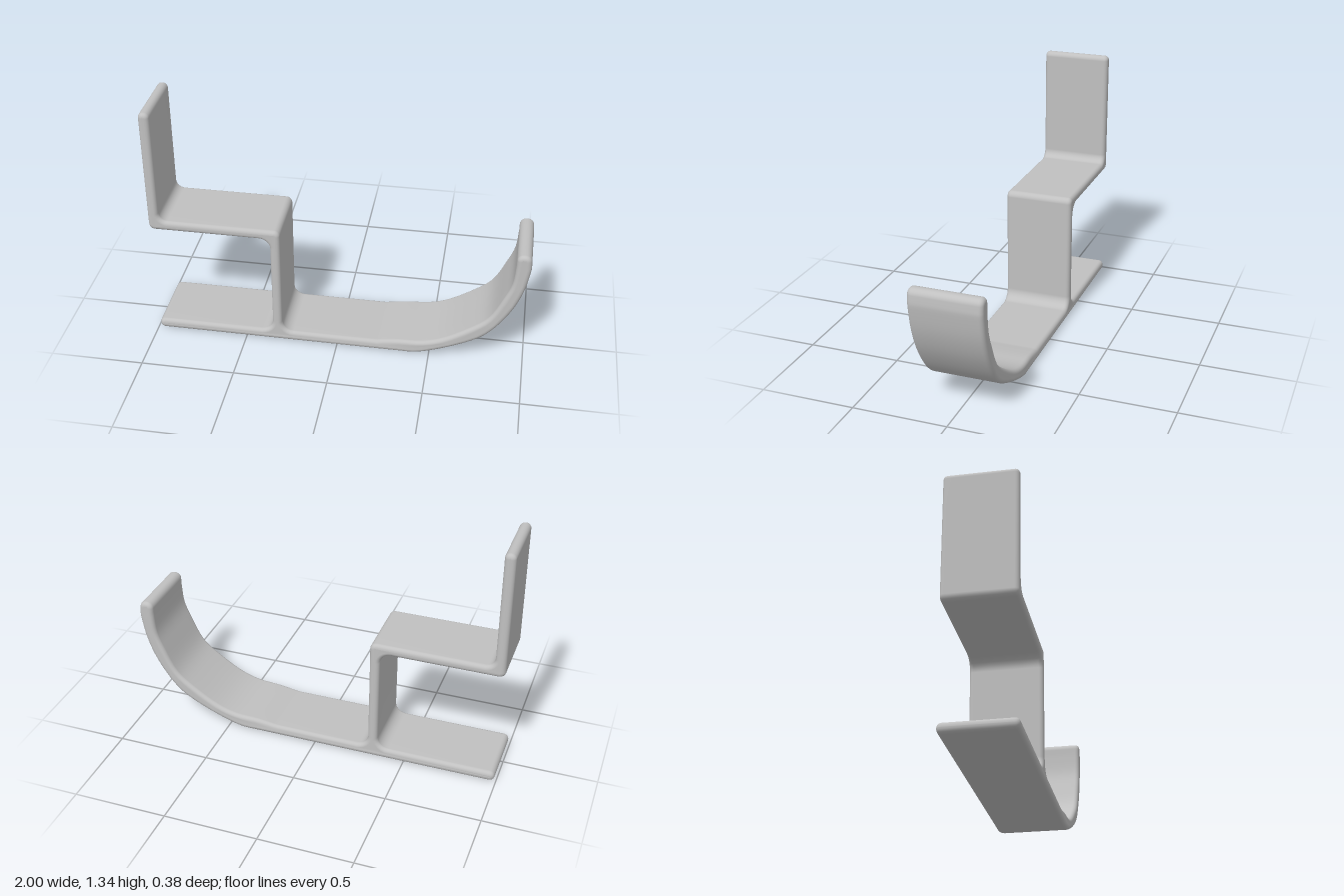
import * as THREE from 'three';
import { mergeVertices } from 'three/addons/utils/BufferGeometryUtils.js';

// Polygon outline with an arc of the given radius at each corner [x, y, radius].
function filletedOutline(corners) {
  const points = [];
  const n = corners.length;
  corners.forEach(([x, y, r], i) => {
    const p = new THREE.Vector2(x, y);
    if (!r) return points.push(p);
    const a = new THREE.Vector2(...corners[(i + n - 1) % n].slice(0, 2)).sub(p).normalize();
    const b = new THREE.Vector2(...corners[(i + 1) % n].slice(0, 2)).sub(p).normalize();
    const half = Math.acos(THREE.MathUtils.clamp(a.dot(b), -1, 1)) / 2;
    const centre = a.clone().add(b).normalize().multiplyScalar(r / Math.sin(half)).add(p);
    const start = p.clone().addScaledVector(a, r / Math.tan(half)).sub(centre);
    const end = p.clone().addScaledVector(b, r / Math.tan(half)).sub(centre);
    const sweep = Math.atan2(start.cross(end), start.dot(end));
    for (let k = 0; k <= 6; k++) {
      points.push(start.clone().rotateAround(new THREE.Vector2(), sweep * k / 6).add(centre));
    }
  });
  return points;
}

// Smooth run of outline points through a few guides.
function smoothRun(guides, count) {
  return new THREE.SplineCurve(guides.map(([x, y]) => new THREE.Vector2(x, y)))
    .getPoints(count).map(p => [p.x, p.y, 0]);
}

export function createModel() {
  const model = new THREE.Group();
  const grey = new THREE.MeshStandardMaterial({ color: 0xc0c0c0 });
  grey.name = 'light grey';

  // Curled runner at the model's left: outer side going up, inner side coming down.
  const curlOuter = smoothRun([[0.36, 0.007], [0.44, 0.013], [0.57, 0.055], [0.73, 0.13],
    [0.826, 0.207], [0.917, 0.34], [0.972, 0.473], [0.998, 0.6], [1, 0.64]], 32);
  const curlInner = smoothRun([[0.923, 0.64], [0.912, 0.52], [0.874, 0.42], [0.805, 0.287],
    [0.7, 0.2], [0.57, 0.122], [0.46, 0.088], [0.34, 0.08], [0.22, 0.063]], 32);

  // Whole bent strip seen from the front, anticlockwise.
  const outline = filletedOutline([
    [-0.99, 0.007, 0.027],
    ...curlOuter,
    [0.995, 0.7, 0.034], [0.922, 0.7, 0.034],
    ...curlInner,
    [-0.3, 0.063, 0.06],                           // base to post
    [-0.3, 0.709, 0.032], [-0.943, 0.709, 0.045],  // seat top
    [-0.943, 1.342, 0.027], [-1, 1.342, 0.027],    // backrest top
    [-1, 0.655, 0.032], [-0.353, 0.655, 0.06],     // seat underside
    [-0.353, 0.063, 0.06],                         // post to base
    [-0.99, 0.063, 0.027],
  ]);
  // Drop coincident points.
  const clean = outline.filter((p, i) =>
    p.distanceTo(outline[(i + outline.length - 1) % outline.length]) > 0.001);

  // Extrude across z with rounded edges.
  const edge = 0.022, width = 0.372;
  const solid = new THREE.ExtrudeGeometry(new THREE.Shape(clean), {
    depth: width - 2 * edge, steps: 4, bevelEnabled: true, bevelSegments: 5,
    bevelThickness: edge, bevelSize: edge, bevelOffset: -edge,
  });
  solid.translate(0, 0, edge - width / 2);

  // The runner is slightly wider than the rest.
  const pos = solid.attributes.position;
  for (let i = 0; i < pos.count; i++) {
    const t = THREE.MathUtils.smoothstep(pos.getX(i), 0.25, 0.45);
    pos.setZ(i, pos.getZ(i) * (1 + 0.025 * t));
  }

  // Smooth normals all round.
  solid.deleteAttribute('uv');
  solid.deleteAttribute('normal');
  const geometry = mergeVertices(solid, 1e-5);
  geometry.clearGroups();
  geometry.computeVertexNormals();

  const strip = new THREE.Mesh(geometry, grey);
  strip.name = 'bentSledStrip';
  model.add(strip);
  return model;
}
